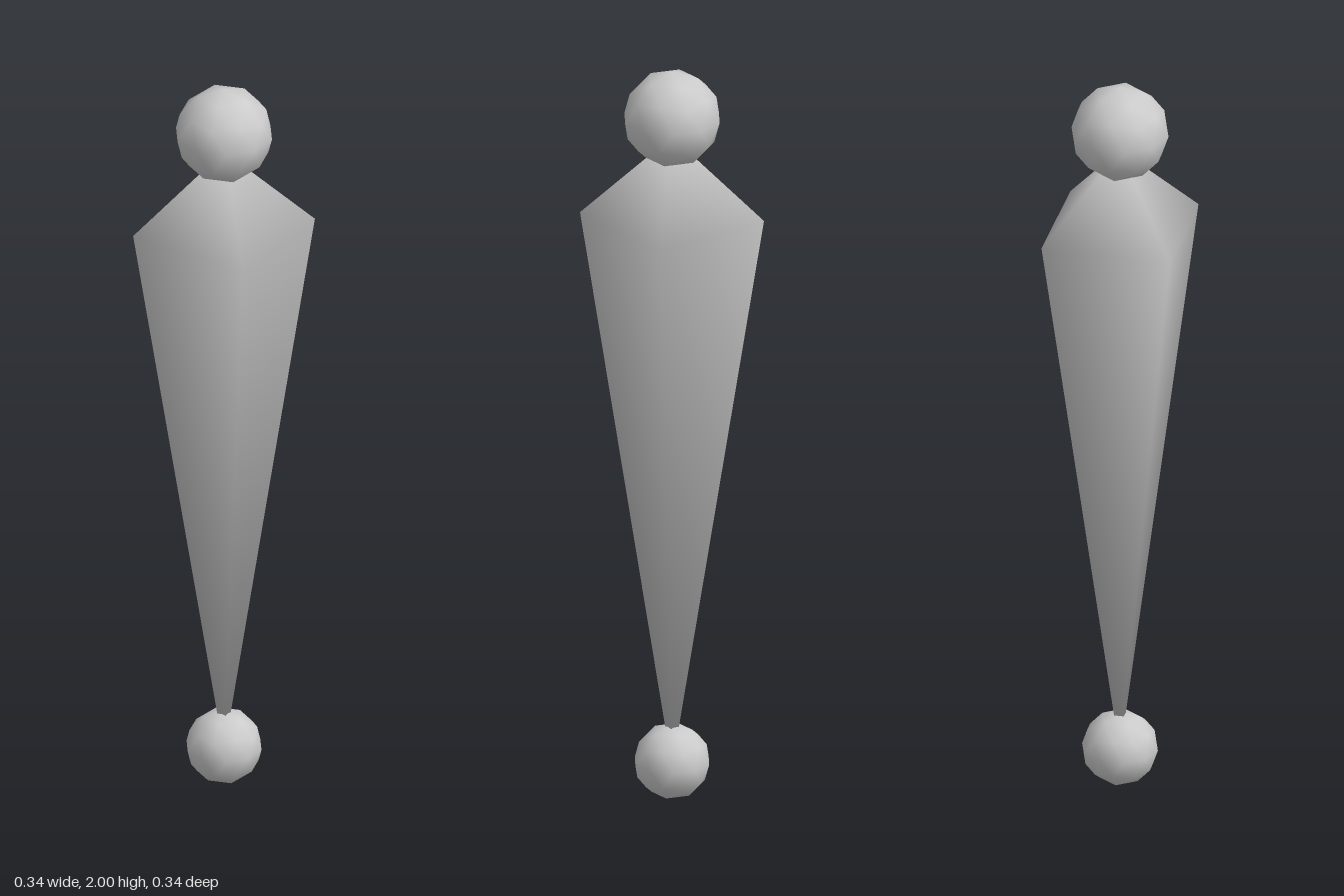
import * as THREE from 'three';

const material = new THREE.MeshStandardMaterial({ color: 0xcccccc });

// Smooth-shaded icosphere with one vertex at its top pole
function ball(name, radius, y) {
  const geometry = new THREE.IcosahedronGeometry(radius, 1);
  geometry.rotateZ(-Math.atan(2 / (1 + Math.sqrt(5))));
  const mesh = new THREE.Mesh(geometry, material);
  mesh.name = name;
  mesh.position.y = y;
  return mesh;
}

// Square double pyramid whose faces share corners, so normals blend across edges
function doublePyramid(name, half, topY, midY, bottomY) {
  const points = [0, topY, 0, 0, bottomY, 0];
  const index = [];
  for (let i = 0; i < 4; i++) {
    const angle = Math.PI / 4 + (i * Math.PI) / 2;
    const r = half * Math.SQRT2;
    points.push(r * Math.cos(angle), midY, r * Math.sin(angle));
    const a = 2 + i;
    const b = 2 + ((i + 1) % 4);
    index.push(a, 0, b, a, b, 1);
  }
  const geometry = new THREE.BufferGeometry();
  geometry.setAttribute('position', new THREE.Float32BufferAttribute(points, 3));
  geometry.setIndex(index);
  geometry.computeVertexNormals();
  const mesh = new THREE.Mesh(geometry, material);
  mesh.name = name;
  return mesh;
}

export function createModel() {
  const group = new THREE.Group();
  group.name = 'bone';
  group.add(
    ball('headJoint', 0.128, 1.872),
    doublePyramid('shaft', 0.169, 1.82, 1.6, 0.08),
    ball('tailJoint', 0.1, 0.1)
  );
  return group;
}
